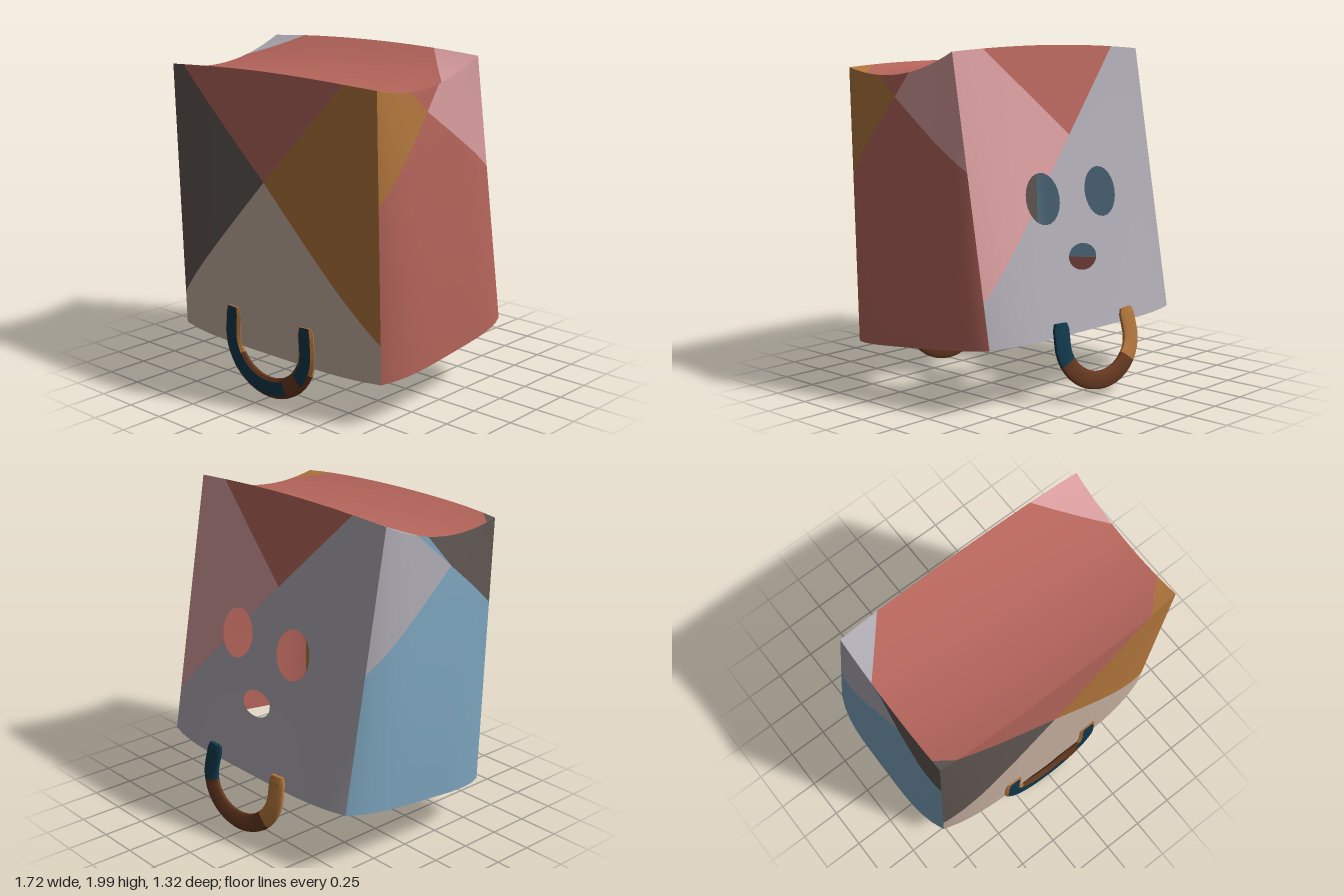
import * as THREE from 'three';
import { toCreasedNormals } from 'three/addons/utils/BufferGeometryUtils.js';

const mat = (name, color) => new THREE.MeshStandardMaterial({ name, color, side: THREE.DoubleSide });
const red = mat('brick red', 0xb5655b), orange = mat('ochre', 0xb2763c), beige = mat('beige', 0xc6b09f),
  dark = mat('charcoal', 0x605753), pink = mat('pink', 0xd79c9e), gray = mat('pale gray', 0xaeaab2),
  blue = mat('sky blue', 0x7ca4bd), navy = mat('navy', 0x10384c), brown = mat('brown', 0x63371f);

const lerp = THREE.MathUtils.lerp;

// Soft box: a = side to side, b = bottom to top, c = back to front
function bag(a, b, c) {
  const bulge = (1 - a ** 4) * (0.03 + 0.04 * (1 - b));
  const front = lerp(0.56, 0.61, b) + bulge;
  const back = -lerp(0.51, 0.24, b) - bulge * (1 - 0.7 * b);
  const top = 1.835 - 0.05 * c + 0.08 * c * c + 0.028 * (1 - a * a);
  return new THREE.Vector3(
    a * (0.79 + 0.07 * (1 - c ** 4) * (1 - b * b)),
    lerp(0.32 - 0.06 * c, top, b),
    lerp(back, front, (c + 1) / 2));
}

// Cut a convex polygon by a convex region; returns the inside and outside pieces
function carve(poly, region, project) {
  const outside = [];
  const cx = region.reduce((s, p) => s + p[0], 0) / region.length;
  const cy = region.reduce((s, p) => s + p[1], 0) / region.length;
  for (let k = 0; k < region.length && poly.length > 2; k++) {
    const [px, py] = region[k], [qx, qy] = region[(k + 1) % region.length];
    const side = (x, y) => (qx - px) * (y - py) - (qy - py) * (x - px);
    const sign = Math.sign(side(cx, cy));
    const d = poly.map(v => sign * side(...project(v)));
    const inn = [], out = [];
    poly.forEach((v, i) => {
      const j = (i + 1) % poly.length, w = poly[j];
      (d[i] >= 0 ? inn : out).push(v);
      if ((d[i] >= 0) !== (d[j] >= 0)) {
        const t = d[i] / (d[i] - d[j]);
        const m = [lerp(v[0], w[0], t), lerp(v[1], w[1], t)];
        inn.push(m);
        out.push(m);
      }
    });
    if (out.length > 2) outside.push(out);
    poly = inn;
  }
  return { inside: poly.length > 2 ? poly : null, outside };
}

function addMeshes(group, name, parts, creased) {
  for (const [material, { pos, nor }] of parts) {
    let g = new THREE.BufferGeometry();
    g.setAttribute('position', new THREE.Float32BufferAttribute(pos, 3));
    if (creased) g = toCreasedNormals(g, 0.6);
    else g.setAttribute('normal', new THREE.Float32BufferAttribute(nor, 3));
    const mesh = new THREE.Mesh(g, material);
    mesh.name = name + ' ' + material.name;
    group.add(mesh);
  }
}

function bucket(parts, material) {
  if (!parts.has(material)) parts.set(material, { pos: [], nor: [] });
  return parts.get(material);
}

// One bag wall: a grid, carved into colour regions (a null colour is a hole)
function wall(group, name, at, axes, base, regions, N = 14, tMax = 1) {
  const parts = new Map();
  const project = v => { const p = at(...v); return axes.map(k => p[k]); };
  const normal = (s, t) => {
    const e = 0.01;
    const ds = at(s + e, t).sub(at(s - e, t)), dt = at(s, t + e).sub(at(s, t - e));
    return ds.cross(dt).normalize();
  };
  const emit = (poly, material) => {
    const { pos, nor } = bucket(parts, material);
    for (let i = 1; i < poly.length - 1; i++)
      for (const v of [poly[0], poly[i], poly[i + 1]]) {
        pos.push(...at(...v).toArray());
        nor.push(...normal(...v).toArray());
      }
  };
  for (let i = 0; i < N; i++) for (let j = 0; j < N; j++) {
    const s0 = -1 + 2 * i / N, s1 = s0 + 2 / N, t0 = tMax * j / N, t1 = t0 + tMax / N;
    let pieces = [[[s0, t0], [s1, t0], [s1, t1], [s0, t1]]];
    for (const [region, material] of regions) {
      const rest = [];
      for (const poly of pieces) {
        const { inside, outside } = carve(poly, region, project);
        if (inside && material) emit(inside, material);
        rest.push(...outside);
      }
      pieces = rest;
    }
    pieces.forEach(p => emit(p, base));
  }
  addMeshes(group, name, parts, false);
}

const ellipse = (x, y, rx, ry, n = 24) => Array.from({ length: n }, (_, i) =>
  [x + rx * Math.cos(i / n * 2 * Math.PI), y + ry * Math.sin(i / n * 2 * Math.PI)]);

// U-shaped flat strap; colour(i, j) gives the material of ring i, side j
const RINGS = 28;
function handle(name, colour) {
  const section = [[-.042, .02], [.042, .02], [.06, .008], [.06, -.008],
    [.042, -.02], [-.042, -.02], [-.06, -.008], [-.06, .008]];
  const path = new THREE.CurvePath();
  path.add(new THREE.LineCurve(new THREE.Vector2(-.29, .49), new THREE.Vector2(-.3, .33)));
  path.add(new THREE.EllipseCurve(0, .33, .3, .27, Math.PI, 2 * Math.PI));
  path.add(new THREE.LineCurve(new THREE.Vector2(.3, .33), new THREE.Vector2(.29, .49)));
  const rings = [];
  for (let i = 0; i <= RINGS; i++) {
    const p = path.getPointAt(i / RINGS), T = path.getTangentAt(i / RINGS);
    const k = i === 0 || i === RINGS ? 0.8 : 1;
    rings.push(section.map(([w, d]) => [p.x + T.y * w * k, p.y - T.x * w * k, d * k]));
  }
  const parts = new Map(), n = section.length;
  const tri = (m, ...v) => bucket(parts, m).pos.push(...v.flat());
  for (let j = 0; j < n; j++) {
    const l = (j + 1) % n;
    for (let i = 0; i < RINGS; i++) {
      const m = colour(i, j), A = rings[i], B = rings[i + 1];
      tri(m, A[j], A[l], B[l]);
      tri(m, A[j], B[l], B[j]);
    }
    // End caps
    if (j > 0 && l > 0) {
      const A = rings[0], B = rings[RINGS];
      tri(colour(0, 2), A[0], A[l], A[j]);
      tri(colour(RINGS - 1, 2), B[0], B[j], B[l]);
    }
  }
  const group = new THREE.Group();
  group.name = name;
  addMeshes(group, name, parts, true);
  return group;
}

export function createModel() {
  const model = new THREE.Group();
  model.name = 'paperBagMask';
  const body = new THREE.Group();
  body.name = 'bag';
  model.add(body);

  // Patchwork walls, open at the bottom
  const F = [-.02, 1.27], B = [-.04, 1.48], R = [.21, 1.71], L = [.25, 1.66];
  const maps = {
    front: k => (s, t) => bag(s * k, t, k),
    back: k => (s, t) => bag(-s * k, t, -k),
    left: k => (s, t) => bag(k, t, -s * k),
    right: k => (s, t) => bag(-k, t, s * k),
  };
  wall(body, 'frontWall', maps.front(1), ['x', 'y'], beige, [
    [[F, [-1.02, .22], [-1.08, 2.23]], dark],
    [[F, [-1.08, 2.23], [.92, 2.23]], red],
    [[F, [.92, 2.23], [1.05, .23]], orange]]);
  wall(body, 'faceWall', maps.back(1), ['x', 'y'], gray, [
    [ellipse(.26, 1.14, .138, .145), null],
    [ellipse(-.24, 1.14, .138, .145), null],
    [ellipse(0, .79, .12, .075), null],
    [[B, [.93, 2.28], [1.05, .36]], pink],
    [[B, [.93, 2.28], [-.82, 2.26]], red]]);
  wall(body, 'leftWall', maps.left(1), ['z', 'y'], red, [
    [[R, [.755, 1.05], [.72, 2.16]], orange],
    [[R, [-.23, 2.27], [-.69, 1.09]], pink]]);
  wall(body, 'rightWall', maps.right(1), ['z', 'y'], blue, [
    [[L, [.775, 1.075], [.8, 2.3], [-.2, 2.04]], dark],
    [[L, [-.63, .97], [-.6, 2.3], [-.2, 2.04]], gray]]);
  wall(body, 'topWall', (s, t) => bag(s, 1, 1 - 2 * t), ['x', 'z'], red, [
    [[[-.3, -.52], [-1.07, .33], [-1.2, -.6]], gray],
    [[[.2, -.53], [1.07, .37], [1.2, -.6]], pink],
    [[[-.905, .45], [-.43, .83], [-1.1, .9]], dark],
    [[[.98, .29], [.4, .81], [1.1, .9]], orange]]);

  // Hem folded inside the opening
  for (const [side, m] of [['front', orange], ['back', gray], ['left', red], ['right', red]])
    wall(body, side + 'Hem', maps[side](0.98), ['x', 'y'], m, [], 8, 0.19);

  // Handles
  const front = handle('frontHandle', (i, j) => {
    const end = i < 7 || i > RINGS - 7;
    if (j === 0 && (i < 17 || i > 19)) return navy;
    return end ? orange : brown;
  });
  front.position.z = 0.625;
  const back = handle('backHandle', (i, j) => {
    if (i < 8) return orange;
    return i > RINGS - 7 && j > 1 && j < 7 ? navy : brown;
  });
  back.scale.y = 0.86;
  back.position.set(0, 0.045, -0.66);
  back.rotation.x = 0.2;
  model.add(front, back);
  return model;
}
